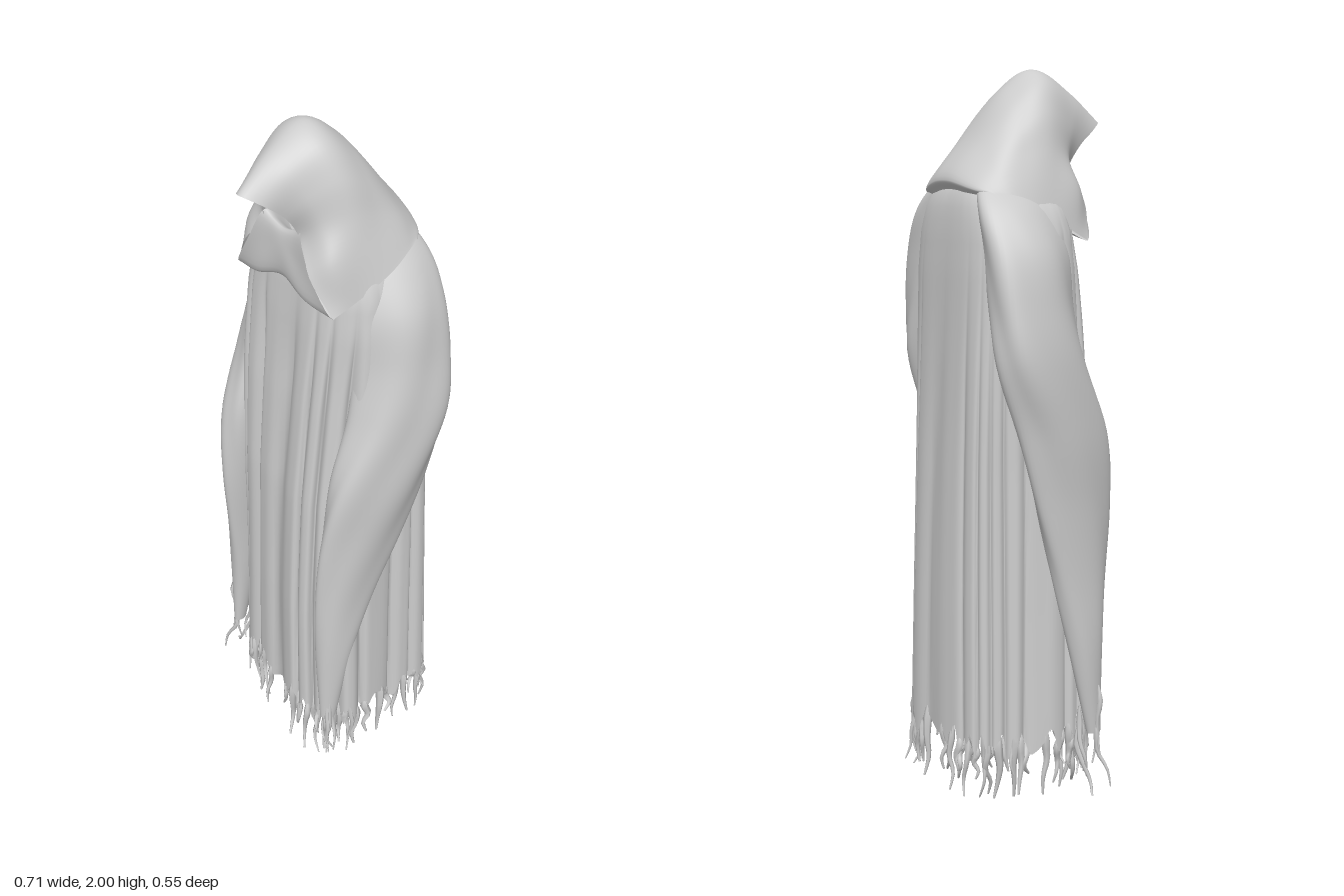
import * as THREE from 'three';
import { mergeGeometries } from 'three/addons/utils/BufferGeometryUtils.js';

const cloth = new THREE.MeshStandardMaterial({ color: 0xcccccc, side: THREE.DoubleSide });
const V = (x, y, z) => new THREE.Vector3(x, y, z);
const { smoothstep, clamp } = THREE.MathUtils;

// Surface from a rule fn(u, v) -> Vector3; closed joins the u ends smoothly.
function surface(name, nu, nv, closed, fn) {
  const cols = closed ? nu : nu + 1, pos = [], index = [];
  for (let j = 0; j <= nv; j++)
    for (let i = 0; i < cols; i++) pos.push(...fn(i / nu, j / nv).toArray());
  for (let j = 0; j < nv; j++)
    for (let i = 0; i < nu; i++) {
      const a = j * cols + i, b = j * cols + (i + 1) % cols, c = a + cols, d = b + cols;
      index.push(a, b, d, a, d, c);
    }
  const g = new THREE.BufferGeometry();
  g.setAttribute('position', new THREE.Float32BufferAttribute(pos, 3));
  g.setIndex(index);
  g.computeVertexNormals();
  const mesh = new THREE.Mesh(g, cloth);
  mesh.name = name;
  return mesh;
}

// Smooth skin over a grid of control points (rows run along u).
function skin(name, rows, nu, nv) {
  const curves = rows.map(r => new THREE.CatmullRomCurve3(r));
  const columns = [];
  for (let i = 0; i <= nu; i++)
    columns.push(new THREE.CatmullRomCurve3(curves.map(c => c.getPoint(i / nu))));
  return surface(name, nu, nv, false, (u, v) => columns[Math.round(u * nu)].getPoint(v));
}

// Mirror a half row that ends on the centre line; the right side is a little narrower.
const mirrorRow = half => [...half.map(p => V(...p)),
  ...half.slice(0, -1).reverse().map(([x, y, z]) => V(-x * 0.95, y, z))];

// Interpolate a table of [y, a, b, ...] rows, ordered by rising y.
function sample(table, y) {
  let i = 0;
  while (i < table.length - 2 && y > table[i + 1][0]) i++;
  const [p, q] = [table[i], table[i + 1]];
  const t = clamp((y - p[0]) / (q[0] - p[0]), 0, 1);
  return p.slice(1).map((a, k) => a + (q[k + 1] - a) * t);
}

// Robe outline: y, half width, back z, front z
const robeTable = [
  [0.1, 0.28, -0.268, 0.185], [0.5, 0.27, -0.26, 0.18], [0.9, 0.262, -0.25, 0.168],
  [1.2, 0.26, -0.24, 0.145], [1.45, 0.258, -0.23, 0.12], [1.56, 0.245, -0.222, 0.105],
  [1.63, 0.215, -0.212, 0.09], [1.68, 0.165, -0.195, 0.06], [1.72, 0.09, -0.14, 0.03],
];
const TAU = Math.PI * 2;
const boxy = s => Math.sign(s) * Math.abs(s) ** 0.62;

function robePoint(u, v) {
  const a = u * TAU;
  const hem = 0.15 + 0.02 * Math.sin(23 * a) + 0.02 * Math.sin(37 * a + 1);
  const y = hem + (1.72 - hem) * v;
  const [w, back, front] = sample(robeTable, y);
  // sharp inward creases between rounded pleats, softer behind, fading at the shoulders
  const phase = 10 * a + 0.8 * Math.sin(3 * a + 1) + 0.5 * Math.sin(5 * a) + 0.25 * Math.sin(y * 3 + 2 * a);
  const crease = (1 - Math.abs(Math.sin(phase))) ** 2;
  const isFront = smoothstep(Math.sin(a), -0.5, 0.3);
  const fade = smoothstep(1.62 - y, 0, 0.8 - 0.4 * isFront);
  const r = 1 - ((0.06 + 0.05 * isFront) * crease + 0.025 * Math.sin(7 * a + 2)) * fade;
  const x = w * boxy(Math.cos(a)) * r;
  const swing = 0.16 * x * isFront * smoothstep(1.4 - y, 0, 1);
  return V(x, y, (front + back) / 2 + (front - back) / 2 * boxy(Math.sin(a)) * r + swing);
}

// Sleeve outline: y, inner x, outer x, back z, front z
const sleeveTable = [
  [0.16, 0.215, 0.25, 0.15, 0.195], [0.4, 0.19, 0.268, 0.09, 0.2], [0.6, 0.19, 0.28, 0.02, 0.2],
  [0.8, 0.19, 0.305, -0.06, 0.19], [1.0, 0.19, 0.335, -0.13, 0.16], [1.2, 0.18, 0.35, -0.195, 0.09],
  [1.35, 0.15, 0.335, -0.205, 0.06], [1.5, 0.11, 0.305, -0.207, 0.06],
  [1.6, 0.09, 0.25, -0.205, 0.045], [1.66, 0.07, 0.195, -0.19, 0.03], [1.71, 0.05, 0.13, -0.16, 0],
];

function sleeve(name, side) {
  const path = new THREE.CatmullRomCurve3(sleeveTable.map(r => V(r[0], r[1], r[2])));
  const depth = new THREE.CatmullRomCurve3(sleeveTable.map(r => V(r[0], r[3], r[4])));
  return surface(name, 56, 64, true, (u, v) => {
    const a = -u * TAU * side, p = path.getPoint(v), d = depth.getPoint(v), y = p.x;
    const fold = 1 + 0.045 * Math.sin(5 * a + y * 9) * Math.sin(Math.PI * v);
    const dz = (d.z - d.y) / 2 * Math.sin(a) * fold;
    let x = (p.y + p.z) / 2 + (p.z - p.y) / 2 * Math.cos(a) * fold - 0.18 * dz;
    let z = (d.y + d.z) / 2 + dz;
    if (side < 0) { // this arm hangs wider and further back
      const low = smoothstep(1.1 - y, 0, 0.8);
      x += 0.05 * low;
      z -= 0.07 * low;
    }
    return V(x * side, y, z);
  });
}

// Hood slices from the face opening to the back hem, each from side hem to ridge
const hoodRows = [
  [[0.2, 1.53, 0.13], [0.135, 1.635, 0.155], [0.075, 1.715, 0.135], [0.066, 1.785, 0.175], [0.045, 1.835, 0.235], [0, 1.858, 0.272]],
  [[0.212, 1.555, 0.08], [0.178, 1.67, 0.112], [0.13, 1.76, 0.105], [0.1, 1.84, 0.13], [0.06, 1.91, 0.16], [0, 1.94, 0.172]],
  [[0.225, 1.59, 0.01], [0.195, 1.69, 0.03], [0.167, 1.78, 0.035], [0.135, 1.88, 0.045], [0.08, 1.965, 0.055], [0, 2.0, 0.055]],
  [[0.228, 1.625, -0.06], [0.203, 1.69, -0.055], [0.172, 1.76, -0.052], [0.138, 1.835, -0.048], [0.08, 1.91, -0.04], [0, 1.945, -0.035]],
  [[0.215, 1.652, -0.12], [0.197, 1.68, -0.13], [0.168, 1.72, -0.137], [0.125, 1.76, -0.14], [0.07, 1.8, -0.138], [0, 1.815, -0.135]],
  [[0.195, 1.658, -0.165], [0.168, 1.665, -0.19], [0.13, 1.675, -0.206], [0.09, 1.685, -0.215], [0.045, 1.693, -0.22], [0, 1.695, -0.221]],
  [[0.185, 1.64, -0.145], [0.16, 1.647, -0.17], [0.125, 1.655, -0.187], [0.085, 1.662, -0.196], [0.045, 1.668, -0.2], [0, 1.67, -0.2]],
];

// Cowl draped under the chin, from the inner lip down to the wavy hem
const cowlRows = [
  [[0.08, 1.68, 0.05], [0.04, 1.66, 0.06], [0, 1.65, 0.06]],
  [[0.075, 1.74, 0.13], [0.045, 1.725, 0.13], [0, 1.715, 0.13]],
  [[0.125, 1.645, 0.15], [0.06, 1.65, 0.145], [0, 1.665, 0.145]],
  [[0.2, 1.53, 0.13], [0.1, 1.545, 0.142], [0, 1.575, 0.135]],
  [[0.18, 1.55, 0.09], [0.09, 1.56, 0.1], [0, 1.59, 0.1]],
];

let seed = 7;
const rand = () => (seed = (seed * 16807) % 2147483647) / 2147483647;
const spread = s => (rand() - 0.5) * 2 * s;

// One ragged strand: a crooked tube, hidden at its root and thin at its end
function strand(start, length, radius, flare) {
  const out = V(start.x, 0, start.z + 0.04).normalize();
  const pts = [0, 1, 2, 3, 4].map(i => {
    const t = i / 4, p = start.clone().addScaledVector(out, flare * t * t);
    return p.add(V(spread(0.02 * t), -length * t, spread(0.016 * t)));
  });
  const path = new THREE.CatmullRomCurve3(pts), seg = 9, sides = 6;
  const g = new THREE.TubeGeometry(path, seg, radius, sides);
  const pos = g.attributes.position, p = V(0, 0, 0);
  for (let i = 0; i < pos.count; i++) {
    const t = Math.floor(i / (sides + 1)) / seg, c = path.getPointAt(t);
    p.fromBufferAttribute(pos, i).sub(c).multiplyScalar(Math.min(1, 0.2 + 4 * t) * (1 - 0.8 * t)).add(c);
    pos.setXYZ(i, p.x, Math.max(0, p.y), p.z);
  }
  g.computeVertexNormals();
  return g;
}

function fringe() {
  const strands = [], count = 68;
  for (let i = 0; i < count; i++) {
    const p = robePoint((i + rand() * 0.8) / count, 0);
    p.set(p.x * 0.97, p.y + 0.035, p.z * 0.97);
    const length = i % 3 === 0 ? p.y : p.y * (0.55 + 0.45 * rand());
    strands.push(strand(p, length, 0.011 + 0.007 * rand(), spread(0.02)));
  }
  // loose threads under the sleeve tips
  for (let i = 0; i < 5; i++) {
    strands.push(strand(V(-0.285 + spread(0.02), 0.3 - 0.03 * i, 0.08 + spread(0.03)), 0.2, 0.011, 0.01 + 0.012 * i));
    strands.push(strand(V(0.23 + spread(0.02), 0.22, 0.165 + spread(0.02)), 0.19, 0.01, 0.01));
  }
  const mesh = new THREE.Mesh(mergeGeometries(strands), cloth);
  mesh.name = 'hemFringe';
  return mesh;
}

export function createModel() {
  const model = new THREE.Group();
  model.name = 'hoodedRobe';
  model.add(
    surface('robe', 320, 48, true, (u, v) => robePoint(1 - u, v)),
    sleeve('leftSleeve', 1),
    sleeve('rightSleeve', -1),
    skin('hood', hoodRows.map(mirrorRow), 60, 48),
    skin('cowl', cowlRows.map(mirrorRow), 32, 24),
    fringe(),
  );
  return model;
}
